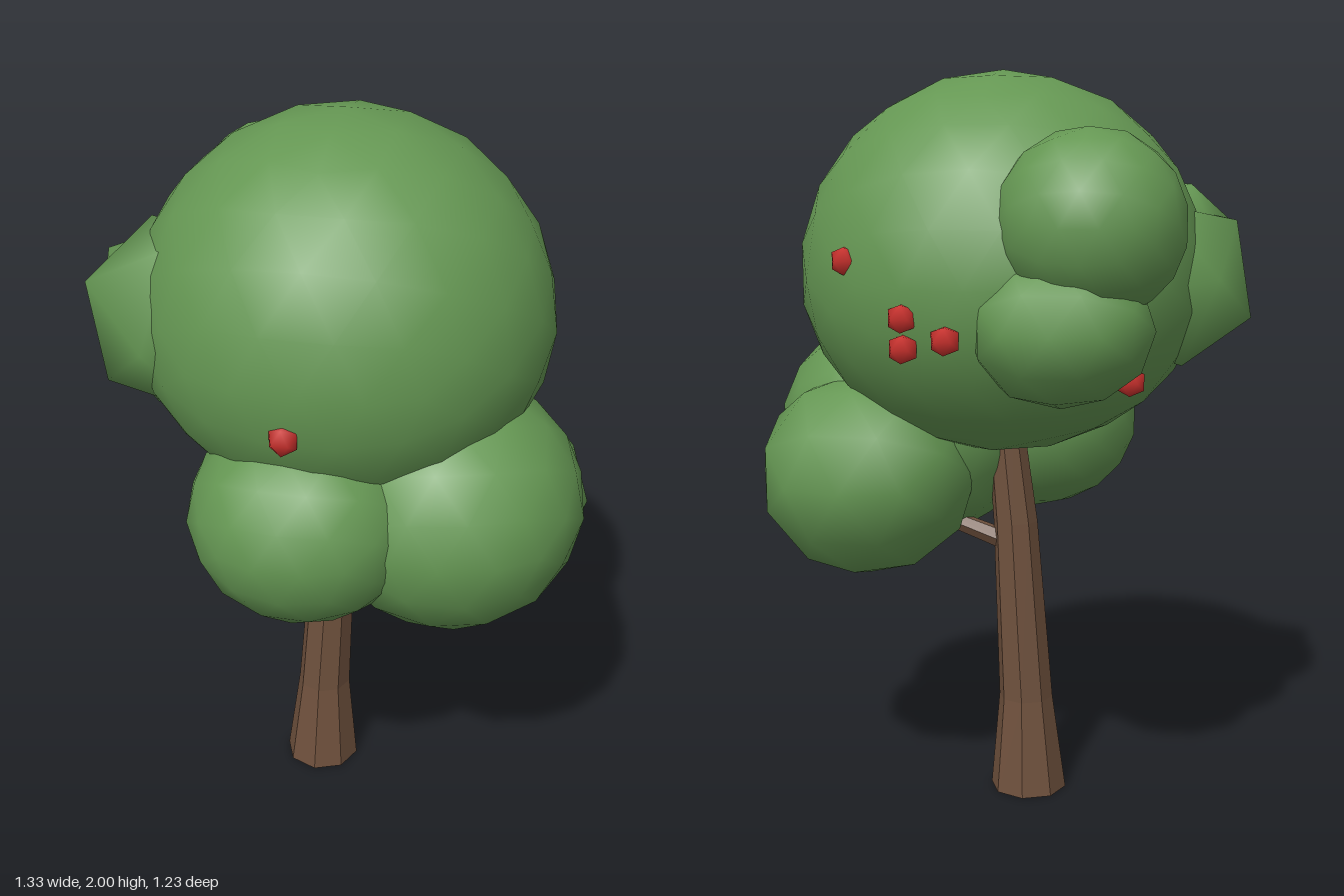
import * as THREE from 'three';

const leaf = new THREE.MeshStandardMaterial({ color: 0x659753 });
const bark = new THREE.MeshStandardMaterial({ color: 0x6f513d, flatShading: true });
const red = new THREE.MeshStandardMaterial({ color: 0xc8302c });

function add(group, name, geometry, material, position = [0, 0, 0]) {
  const mesh = new THREE.Mesh(geometry, material);
  mesh.name = name;
  mesh.position.set(...position);
  group.add(mesh);
  return mesh;
}

// Unit low-poly ball with smooth normals, an upright edge on each side and
// an underside flattened by the factor "under"
function ball(detail, under = 1) {
  const geo = new THREE.IcosahedronGeometry(1, detail).rotateX(Math.PI / 2);
  geo.attributes.normal.copy(geo.attributes.position);
  const pos = geo.attributes.position;
  for (let i = 0; i < pos.count; i++) if (pos.getY(i) < 0) pos.setY(i, pos.getY(i) * under);
  return geo;
}

// Leaning trunk: each ring of a cylinder is moved to [y, centre x, radius]
function trunkGeometry() {
  const rings = [[0, -0.073, 0.107], [0.27, -0.065, 0.076], [0.78, -0.034, 0.062], [1.1, 0, 0.05]];
  const geo = new THREE.CylinderGeometry(1, 1, 1, 8, rings.length - 1);
  const pos = geo.attributes.position;
  for (let i = 0; i < pos.count; i++) {
    const [y, cx, r] = rings[Math.round((pos.getY(i) + 0.5) * (rings.length - 1))];
    pos.setXYZ(i, cx + pos.getX(i) * r, y, pos.getZ(i) * r);
  }
  geo.computeVertexNormals();
  return geo;
}

export function createModel() {
  const tree = new THREE.Group();
  tree.name = 'tree';

  add(tree, 'trunk', trunkGeometry(), bark);

  // Short side branch reaching into the lower foliage
  const from = new THREE.Vector3(-0.04, 0.71, 0);
  const to = new THREE.Vector3(0.24, 0.81, 0);
  const branch = add(tree, 'branch', new THREE.CylinderGeometry(0.022, 0.03, from.distanceTo(to), 6), bark);
  branch.position.lerpVectors(from, to, 0.5);
  branch.quaternion.setFromUnitVectors(new THREE.Vector3(0, 1, 0), to.clone().sub(from).normalize());

  add(tree, 'crown', ball(3, 0.88), leaf, [0.003, 1.46, 0.01]).scale.set(0.547, 0.54, 0.535);

  // Foliage: name, centre, radii, subdivision, turn about y, tilt about z
  const blobs = [
    ['frontFoliage', [-0.033, 1.03, 0.32], [0.305, 0.275, 0.295], 2, 0, 0],
    ['leftFoliage', [0.305, 1.015, 0.135], [0.36, 0.335, 0.365], 2, 0.3, 0],
    ['leftBackFoliage', [0.36, 0.922, -0.095], [0.3, 0.285, 0.305], 1, 0, 0],
    ['backUpperFoliage', [-0.28, 1.61, -0.38], [0.237, 0.237, 0.225], 2, 0, 0],
    ['backLowerFoliage', [-0.215, 1.36, -0.4], [0.23, 0.195, 0.22], 1, 0, 0],
    ['rightFrontTuft', [-0.41, 1.48, 0.15], [0.245, 0.265, 0.24], 0, 0.5, 0.13],
    ['rightBackTuft', [-0.44, 1.445, 0.045], [0.24, 0.25, 0.25], 0, 0.1, -0.17],
  ];
  for (const [name, centre, radii, detail, turn, tilt] of blobs) {
    const blob = add(tree, name, ball(detail), leaf, centre);
    blob.scale.set(...radii);
    blob.rotation.set(0, turn, tilt);
  }

  // Fruit scattered over the crown
  const fruit = [
    [-0.03, 1.35, 0.525], [0.325, 1.52, -0.4], [0.16, 1.39, -0.49],
    [0.16, 1.315, -0.485], [0.05, 1.34, -0.51], [-0.375, 1.22, -0.29],
  ];
  for (const p of fruit) add(tree, 'fruit', ball(0), red, p).scale.setScalar(0.04);

  return tree;
}
